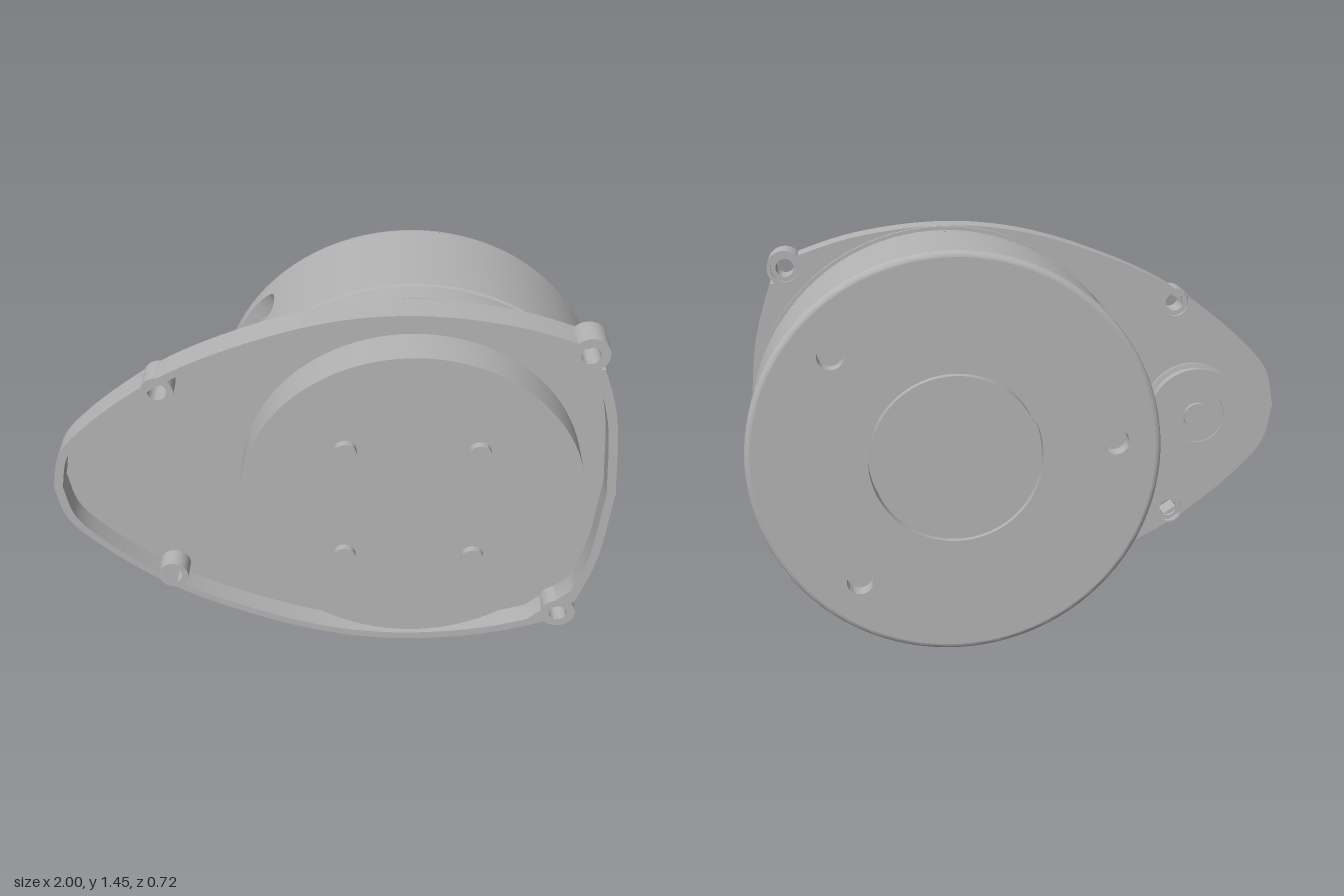
import * as THREE from 'three';
import { toCreasedNormals } from 'three/addons/utils/BufferGeometryUtils.js';
import { ParametricGeometry } from 'three/addons/geometries/ParametricGeometry.js';

const CY = 0.73;  // height of the mirror line
const DX = 0.275; // x of the drum axis

export function createModel() {
  const model = new THREE.Group();
  const grey = new THREE.MeshStandardMaterial({ color: 0xb4b4b4, side: THREE.DoubleSide });
  grey.name = 'grey metal';

  const add = (name, geometry, x = 0, y = 0, z = 0) => {
    const mesh = new THREE.Mesh(geometry, grey);
    mesh.name = name;
    mesh.position.set(x, y, z);
    model.add(mesh);
    return mesh;
  };
  // Turned part: [radius, z] pairs, axis along z
  const turned = (profile, segments = 48) => toCreasedNormals(
    new THREE.LatheGeometry(profile.map(([r, z]) => new THREE.Vector2(r, z)), segments).rotateX(Math.PI / 2), 0.5);
  const plate = (shape, z0, z1) => toCreasedNormals(
    new THREE.ExtrudeGeometry(shape, { depth: z1 - z0, bevelEnabled: false, curveSegments: 48 }).translate(0, 0, z0), 0.5);
  const circle = (x, y, r, Type = THREE.Path) => new Type().absarc(x, y, r, 0, Math.PI * 2, false);

  // Egg-shaped outline, upper half mirrored about y = CY
  const spline = (pts, n) => new THREE.CatmullRomCurve3(pts.map(([x, y]) => new THREE.Vector3(x, y, 0))).getPoints(n);
  const upper = [
    ...spline([[1, 0], [0.965, 0.33], [0.88, 0.6]], 14),
    ...spline([[0.88, 0.6], [0.6, 0.688], [0.28, 0.725], [0, 0.7], [-0.3, 0.61], [-0.6, 0.468],
      [-0.87, 0.258], [-0.967, 0.14], [-1, 0]], 56).slice(1),
  ];
  const loop = [...upper, ...upper.slice(1, -1).reverse().map(p => new THREE.Vector3(p.x, -p.y, 0))];
  const outline = (sx, sy) => loop.map(p => new THREE.Vector2(p.x * sx, CY + p.y * sy));

  // Tray: floor with screw holes and a thin rim
  const screws = [[0.85, 0.58], [0.85, -0.58], [-0.6, 0.415], [-0.6, -0.415]];
  const floor = new THREE.Shape(outline(1, 1));
  screws.forEach(([x, y], i) => { if (i > 1) floor.holes.push(circle(x, CY + y, 0.05)); });
  // Corner holes cut the edge, so the floor is notched around the bosses
  const notched = outline(1, 1).filter(p => !screws.slice(0, 2).some(([x, y]) => Math.hypot(p.x - x, p.y - CY - y) < 0.06));
  const notchAt = (x, y) => notched.findIndex((p, i) => {
    const q = notched[(i + 1) % notched.length];
    return Math.hypot(p.x - x, p.y - CY - y) < 0.16 && Math.hypot(p.x - q.x, p.y - q.y) > 0.07;
  });
  for (const [x, y] of screws.slice(0, 2)) {
    const i = notchAt(x, y);
    if (i < 0) continue;
    const arc = [];
    const inward = Math.atan2(-y, DX - x);
    for (let k = -6; k <= 6; k++) {
      const a = inward - k * 0.2;
      arc.push(new THREE.Vector2(x + 0.055 * Math.cos(a), CY + y + 0.055 * Math.sin(a)));
    }
    notched.splice(i + 1, 0, ...arc);
  }
  const trayFloor = new THREE.Shape(notched);
  trayFloor.holes = floor.holes;
  add('trayFloor', plate(trayFloor, 0.15, 0.18));
  const rim = new THREE.Shape(notched);
  // Rim opening is kept clear of the corner bosses
  const opening = outline(0.968, 0.958).filter(p => !screws.slice(0, 2).some(([x, y]) => Math.hypot(p.x - x, p.y - CY - y) < 0.085));
  rim.holes.push(new THREE.Path(opening));
  add('trayRim', plate(rim, 0.18, 0.26));

  // Hollow screw bosses with a counterbore at the back
  screws.forEach(([x, y], i) => {
    const r = i < 2 ? 0.065 : 0.056;
    add('screwBoss', turned([[0.033, 0.165], [0.05, 0.165], [0.05, 0.15], [r, 0.15], [r, 0.26], [0.033, 0.26], [0.033, 0.165]], 32), x, CY + y);
  });

  // Raised front disc with four pins
  add('frontDisc', turned([[0.608, 0.17], [0.608, 0.33], [0, 0.33]], 96), DX, CY);
  for (const x of [0.04, 0.5]) for (const y of [-0.232, 0.232])
    add('frontPin', turned([[0.04, 0.32], [0.04, 0.355], [0, 0.355]], 24), x, CY + y);

  // Drum: rounded back edge, waist and flange
  const fillet = [0, 1, 2, 3, 4].map(k => [0.7 + 0.02 * Math.sin(k * Math.PI / 8), -0.34 - 0.02 * Math.cos(k * Math.PI / 8)]);
  add('drumBackEdge', turned(fillet, 96), DX, CY);
  add('drumWaist', turned([[0.72, 0.04], [0.712, 0.045], [0.712, 0.13], [0.725, 0.13], [0.725, 0.147], [0, 0.147]], 96), DX, CY);

  // Drum back face with three holes and a ring groove
  const face = circle(0, 0, 0.7, THREE.Shape);
  face.holes.push(circle(0, 0, 0.303));
  for (const deg of [42, -52, 176]) {
    const a = deg * Math.PI / 180;
    face.holes.push(circle(0.56 * Math.cos(a), 0.56 * Math.sin(a), 0.046));
  }
  add('drumBackFace', plate(face, -0.36, -0.3), DX, CY);
  add('drumHoleFloor', new THREE.CircleGeometry(0.69, 64).rotateY(Math.PI), DX, CY, -0.3);
  add('drumCentreCap', turned([[0, -0.36], [0.295, -0.36], [0.295, -0.3]], 64), DX, CY);

  // Drum side wall: plain arcs between two slotted windows
  const R = 0.72, Z0 = -0.34, Z1 = 0.04, SPAN = 0.3, SLOT_Z = -0.175;
  const onDrum = (a, z, r, out) => out.set(r * Math.cos(a), r * Math.sin(a), z);
  const windows = [147, 213].map(d => d * Math.PI / 180);
  const arcWall = (a0, a1, n) => new ParametricGeometry(
    (u, v, out) => onDrum(a0 + (a1 - a0) * u, Z0 + (Z1 - Z0) * v, R, out), n, 1);
  add('drumWall', arcWall(windows[1] + SPAN, windows[0] - SPAN + Math.PI * 2, 80), DX, CY);
  add('drumWall', arcWall(windows[0] + SPAN, windows[1] - SPAN, 10), DX, CY);

  // Point on a unit square's edge, for u from 0 to 1
  const square = u => {
    const t = (u % 1) * 4, side = Math.floor(t), f = (t - side) * 2 - 1;
    return [[1, f], [-f, 1], [-1, -f], [f, -1]][side];
  };
  const slot = u => {
    const [x, y] = square(u);
    const k = Math.pow(Math.abs(x) ** 3 + Math.abs(y) ** 3, -1 / 3);
    return [x * k * 0.165 / R, y * k * 0.105];
  };
  for (const a of windows) {
    add('slotSurround', new ParametricGeometry((u, v, out) => {
      const [sx, sz] = slot(u), [qx, qz] = square(u);
      const z = qz > 0 ? SLOT_Z + qz * (Z1 - SLOT_Z) : SLOT_Z + qz * (SLOT_Z - Z0);
      onDrum(a + sx + (qx * SPAN - sx) * v, SLOT_Z + sz + (z - SLOT_Z - sz) * v, R, out);
    }, 64, 4), DX, CY);
    add('slotWall', new ParametricGeometry((u, v, out) => {
      const [sx, sz] = slot(u);
      onDrum(a + sx, SLOT_Z + sz, R - 0.12 * v, out);
    }, 64, 1), DX, CY);
    add('slotFloor', new ParametricGeometry((u, v, out) => {
      const [sx, sz] = slot(u);
      onDrum(a + sx * (v + 0.001), SLOT_Z + sz * (v + 0.001), R - 0.12, out);
    }, 64, 4), DX, CY);
    // Cable socket standing in the slot
    const socket = add('slotSocket', turned([[0.085, 0], [0.085, 0.08], [0.055, 0.08], [0.055, 0.01], [0, 0.01]], 32).rotateX(-Math.PI / 2),
      DX + 0.595 * Math.cos(a), CY + 0.595 * Math.sin(a), SLOT_Z);
    socket.rotation.z = a - Math.PI / 2;
  }

  // Flanged pulley with hub on the narrow end
  add('pulley', turned([[0, 0.027], [0.05, 0.027], [0.05, 0.045], [0.105, 0.045], [0.105, 0.038], [0.183, 0.038],
    [0.183, 0.053], [0.165, 0.057], [0.165, 0.125], [0.183, 0.128], [0.183, 0.14], [0.1, 0.14], [0.1, 0.155]], 64), -0.67, CY);

  return model;
}
